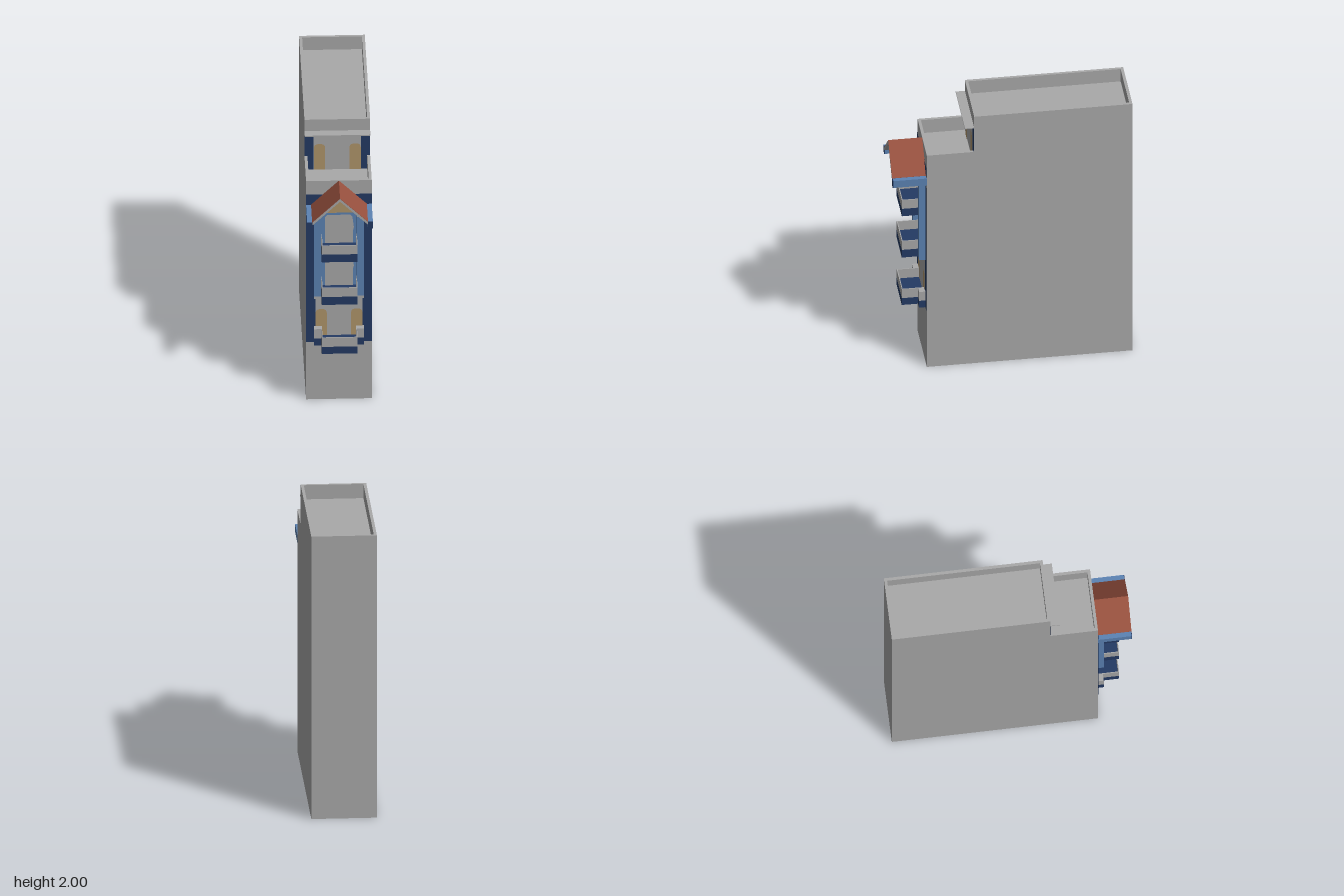
import * as THREE from 'three';

const material = (name, color) => {
  const m = new THREE.MeshStandardMaterial({ color, side: THREE.DoubleSide });
  m.name = name;
  return m;
};

export function createModel() {
  const grey = material('concrete grey', 0xa9a9a9);
  const navy = material('navy', 0x243a64);
  const blue = material('light blue', 0x5c83b4);
  const tan = material('tan', 0xb0956a);
  const red = material('roof red', 0x98513f);

  const model = new THREE.Group();
  model.name = 'townhouse';
  const W = 0.22, BACK = -0.81, STEP = 0.26, FRONT = 0.58;
  const TOP = 2, TERRACE = 1.715, UPPER_FLOOR = 1.9, TERRACE_FLOOR = 1.61;

  const add = (name, geometry, mat, parent = model) => {
    const mesh = new THREE.Mesh(geometry, mat);
    mesh.name = name;
    parent.add(mesh);
    return mesh;
  };
  // box given by its lower and upper limits on each axis
  const box = (name, mat, x0, x1, y0, y1, z0, z1, parent) =>
    add(name, new THREE.BoxGeometry(x1 - x0, y1 - y0, z1 - z0)
      .translate((x0 + x1) / 2, (y0 + y1) / 2, (z0 + z1) / 2), mat, parent);
  // upright sheet facing the front
  const sheet = (name, mat, x0, x1, y0, y1, z) =>
    add(name, new THREE.PlaneGeometry(x1 - x0, y1 - y0)
      .translate((x0 + x1) / 2, (y0 + y1) / 2, z), mat);
  // level sheet facing up
  const level = (name, mat, x0, x1, z0, z1, y) =>
    add(name, new THREE.PlaneGeometry(x1 - x0, z1 - z0).rotateX(-Math.PI / 2)
      .translate((x0 + x1) / 2, y, (z0 + z1) / 2), mat);
  const polygon = (points) => new THREE.Shape(points.map(([x, y]) => new THREE.Vector2(x, y)));

  // stepped shell, open underneath
  const profile = polygon([[BACK, 0], [FRONT, 0], [FRONT, TERRACE], [STEP, TERRACE], [STEP, TOP], [BACK, TOP]]);
  for (const s of [-1, 1]) {
    const side = new THREE.ShapeGeometry(profile).rotateY(-Math.PI / 2);
    if (s > 0) side.scale(-1, 1, 1).index.array.reverse();
    side.computeVertexNormals();
    add('sideWall', side.translate(s * W, 0, 0), grey);
  }
  add('backWall', new THREE.PlaneGeometry(2 * W, TOP).rotateY(Math.PI).translate(0, TOP / 2, BACK), grey);
  sheet('frontWall', grey, -W, W, 0, TERRACE, FRONT);
  sheet('upperFrontWall', grey, -W, W, TERRACE_FLOOR, TOP, STEP);

  // sunken roof and terrace with parapets
  const T = 0.02, I = W - T;
  level('roofFloor', grey, -W, W, BACK, STEP, UPPER_FLOOR);
  level('terraceFloor', grey, -W, W, STEP, FRONT, TERRACE_FLOOR);
  for (const [x0, x1] of [[-W, -I], [I, W]]) {
    box('roofParapetSide', grey, x0, x1, UPPER_FLOOR, TOP, BACK, STEP);
    box('terraceParapetSide', grey, x0, x1, TERRACE_FLOOR, TERRACE, STEP, FRONT);
  }
  box('roofParapetBack', grey, -I, I, UPPER_FLOOR, TOP, BACK, BACK + T);
  box('roofParapetFront', grey, -I, I, UPPER_FLOOR, TOP, STEP - T, STEP);
  box('terraceParapetFront', grey, -I, I, TERRACE_FLOOR, TERRACE, FRONT - T, FRONT);
  box('ledge', grey, -W, W, 1.904, 1.912, STEP, 0.322);

  // painted doors with rounded upper corners
  const doors = (y0, y1, z) => {
    for (const s of [-1, 1]) {
      const d = new THREE.Shape();
      d.moveTo(-0.038, y0);
      d.lineTo(0.038, y0);
      d.lineTo(0.038, y1 - 0.035);
      d.quadraticCurveTo(0.038, y1, 0.01, y1);
      d.lineTo(-0.01, y1);
      d.quadraticCurveTo(-0.038, y1, -0.038, y1 - 0.035);
      add('door', new THREE.ShapeGeometry(d).translate(s * 0.119, 0, z), tan);
    }
  };

  // painted facades
  sheet('facadePaint', navy, -W, W, 0.45, TERRACE_FLOOR, FRONT + 0.002);
  sheet('lowerBayPaint', grey, -0.158, 0.158, 0.5, 0.79, FRONT + 0.004);
  sheet('lowerBayHead', grey, -0.168, 0.168, 0.79, 0.835, FRONT + 0.004);
  doors(0.5, 0.71, FRONT + 0.006);
  sheet('facadeBand', grey, -W, W, 1.45, 1.472, FRONT + 0.003);
  sheet('bayPaint', blue, -0.125, 0.125, 0.835, 1.465, FRONT + 0.004);
  for (const [y0, y1] of [[0.895, 1.15], [1.23, 1.45]]) {
    const h = polygon([[-0.095, y0], [0.095, y0], [0.095, y1 - 0.12], [0.1, y1 - 0.1], [0.09, y1 - 0.015],
      [0.075, y1], [-0.08, y1], [-0.095, y1 - 0.02]]);
    add('bayWindow', new THREE.ShapeGeometry(h).translate(0, 0, FRONT + 0.006), grey);
  }
  sheet('upperFacadePaint', navy, -W, W, TERRACE_FLOOR, 1.904, STEP + 0.002);
  sheet('upperBayPaint', grey, -0.16, 0.16, TERRACE_FLOOR, 1.904, STEP + 0.004);
  doors(TERRACE_FLOOR, 1.81, STEP + 0.006);

  // pilasters beside the bay, and the low wings below them
  for (const [x0, x1] of [[-0.168, -0.118], [0.118, 0.168]]) {
    box('pilaster', blue, x0, x1, 0.835, 1.455, FRONT, 0.625);
    box('pilasterCap', grey, x0, x1, 1.455, 1.467, FRONT, 0.625);
    box('wingBase', navy, x0, x1, 0.45, 0.505, FRONT, 0.625);
    box('wingWall', grey, x0, x1, 0.505, 0.577, FRONT, 0.625);
  }

  // balconies: navy slab with a thin hollow parapet
  for (const [y0, y1, y2] of [[0.45, 0.505, 0.577], [0.835, 0.897, 0.967], [1.17, 1.23, 1.3]]) {
    const balcony = new THREE.Group();
    balcony.name = 'balcony';
    model.add(balcony);
    const b = 0.12, z = 0.735, t = 0.006;
    box('balconySlab', navy, -b, b, y0, y1, FRONT, z, balcony);
    box('balconyFront', grey, -b, b, y1, y2, z - t, z, balcony);
    box('balconyLeft', grey, b - t, b, y1, y2, FRONT, z - t, balcony);
    box('balconyRight', grey, -b, t - b, y1, y2, FRONT, z - t, balcony);
  }

  // projecting gable roof on two beams
  const chevron = (name, mat, top, thick) => {
    const e = 0.187, eave = top - 0.184;
    const s = polygon([[-e, eave], [-e, eave - thick], [0, top - thick], [e, eave - thick], [e, eave], [0, top]]);
    add(name, new THREE.ExtrudeGeometry(s, { depth: 0.81 - FRONT, bevelEnabled: false })
      .translate(0, 0, FRONT), mat);
  };
  chevron('gableRoofFrame', grey, 1.712, 0.022);
  chevron('gableRoofTiles', red, 1.715, 0.003);
  const gable = polygon([[-0.186, 1.467], [0.186, 1.467], [0.186, 1.51], [0, 1.695], [-0.186, 1.51]]);
  add('gablePanel', new THREE.ShapeGeometry(gable).translate(0, 0, FRONT + 0.007), tan);
  for (const [x0, x1] of [[-W, -0.186], [0.186, W]]) {
    box('roofBeam', blue, x0, x1, 1.475, 1.53, FRONT, 0.806);
    box('roofBeamEnd', navy, x0, x1, 1.475, 1.53, 0.806, 0.81);
  }
  return model;
}
